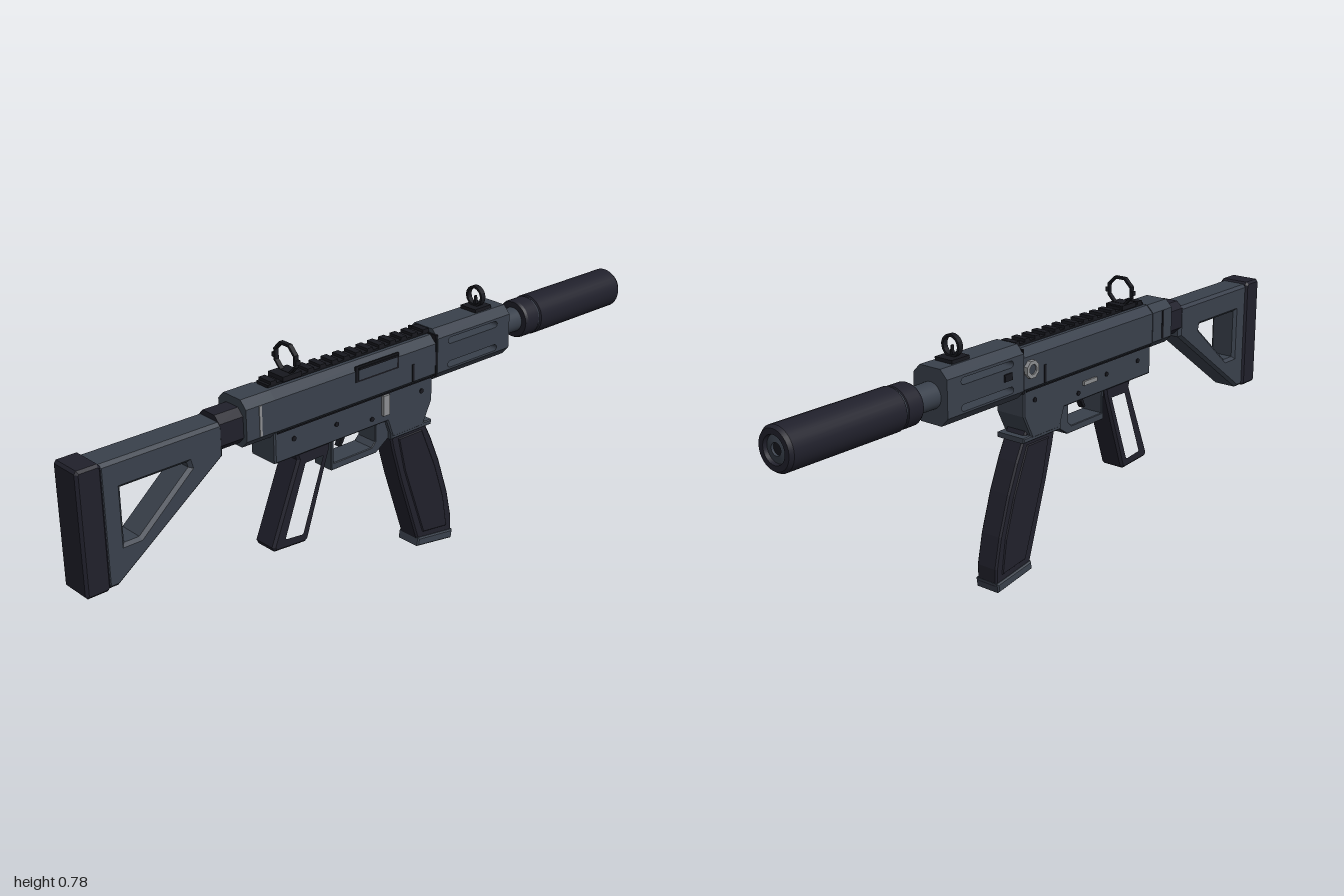
import * as THREE from 'three';
import { mergeGeometries } from 'three/addons/utils/BufferGeometryUtils.js';

const paint = (name, color) => Object.assign(new THREE.MeshStandardMaterial({ color }), { name });

export function createModel() {
  const slate = paint('slate metal', 0x39404b);
  const dark = paint('dark polymer', 0x20202b);
  const black = paint('blackened steel', 0x17181e);
  const steel = paint('bare steel', 0x8b8d90);

  const group = new THREE.Group();
  group.name = 'compactCarbine';
  const add = (name, geometry, material) => {
    const mesh = new THREE.Mesh(geometry, material);
    mesh.name = name;
    group.add(mesh);
    return mesh;
  };
  const vecs = pts => pts.map(([x, y]) => new THREE.Vector2(x, y));

  // Box given by its limits
  const box = (name, x0, x1, y0, y1, z0, z1, mat) => {
    const g = new THREE.BoxGeometry(x1 - x0, y1 - y0, z1 - z0);
    return add(name, g.translate((x0 + x1) / 2, (y0 + y1) / 2, (z0 + z1) / 2), mat);
  };

  // Side outline, extruded symmetrically across z with chamfered edges
  const slab = (name, pts, half, bevel, mat, holes = []) => {
    const s = new THREE.Shape(vecs(pts));
    for (const h of holes) s.holes.push(h instanceof THREE.Path ? h : new THREE.Path(vecs(h)));
    const g = new THREE.ExtrudeGeometry(s, {
      depth: 2 * (half - bevel), bevelEnabled: bevel > 0, bevelThickness: bevel,
      bevelSize: bevel, bevelOffset: -bevel, bevelSegments: 1, curveSegments: 8,
    });
    return add(name, g.translate(0, 0, bevel - half), mat);
  };

  // Cross-section in (z, y), extruded along x
  const bar = (name, pts, x0, x1, mat, hole) => {
    const s = new THREE.Shape(vecs(pts));
    if (hole) s.holes.push(new THREE.Path(vecs(hole)));
    const g = new THREE.ExtrudeGeometry(s, { depth: x1 - x0, bevelEnabled: false });
    return add(name, g.rotateY(Math.PI / 2).translate(x0, 0, 0), mat);
  };

  // Turned part along x from [radius, x] points, with crisp edges
  const axisY = 0.622;
  const turned = (name, pts, mat, sides = 32) => {
    const rings = pts.slice(1).map((p, i) => new THREE.LatheGeometry(vecs([pts[i], p]), sides));
    return add(name, mergeGeometries(rings).rotateZ(-Math.PI / 2).translate(0, axisY, 0), mat);
  };

  const chamfered = (w, y0, y1, c) => [
    [-w + c, y0], [w - c, y0], [w, y0 + c], [w, y1 - c],
    [w - c, y1], [-w + c, y1], [-w, y1 - c], [-w, y0 + c]];
  const circle = (r, cy, n) => Array.from({ length: n }, (_, i) => {
    const a = (i + 0.5) / n * Math.PI * 2;
    return [Math.cos(a) * r, cy + Math.sin(a) * r];
  });
  const rounded = (x0, x1, y, r) => {
    const p = new THREE.Path();
    p.absarc(x1 - r, y, r, -Math.PI / 2, Math.PI / 2, false);
    p.absarc(x0 + r, y, r, Math.PI / 2, Math.PI * 1.5, false);
    p.closePath();
    return p;
  };

  // Upper receiver and rear cap
  bar('upperReceiver', chamfered(0.055, 0.548, 0.682, 0.022), -0.41, 0.185, slate);
  bar('rearCap', chamfered(0.057, 0.55, 0.683, 0.022), -0.5, -0.405, slate);
  for (const s of [-1, 1]) {
    box('rearCapSlot', -0.458, -0.45, 0.575, 0.66, s * 0.057 - 0.002, s * 0.057 + 0.002, s > 0 ? steel : black);
    box('receiverSeam', -0.4, 0.17, 0.562, 0.566, s * 0.055 - 0.001, s * 0.055 + 0.001, black);
    box('receiverSlot', 0.088, 0.096, 0.57, 0.622, s * 0.055 - 0.002, s * 0.055 + 0.002, black);
  }

  // Ejection port
  box('portFrame', -0.125, 0.035, 0.628, 0.674, 0.052, 0.057, black);
  box('portCover', -0.115, 0.027, 0.634, 0.668, 0.055, 0.059, slate);
  box('portLip', -0.115, 0.03, 0.664, 0.669, 0.055, 0.062, black);

  // Lower receiver with magazine well
  slab('lowerReceiver', [[-0.405, 0.475], [0, 0.475], [0.02, 0.42], [0.14, 0.42], [0.175, 0.49],
    [0.175, 0.57], [-0.405, 0.57]], 0.05, 0.004, slate);
  slab('magazineWellFlange', [[0.015, 0.413], [0.175, 0.413], [0.175, 0.428], [0.015, 0.432]], 0.049, 0.003, slate);

  // Trigger guard and trigger
  slab('triggerGuard', [[-0.197, 0.49], [-0.197, 0.383], [-0.03, 0.383], [0.025, 0.42], [0.025, 0.49]],
    0.036, 0.002, slate, [[[-0.188, 0.404], [-0.048, 0.404], [-0.034, 0.418], [-0.034, 0.482], [-0.188, 0.482]]]);
  slab('trigger', [[-0.15, 0.49], [-0.135, 0.455], [-0.147, 0.43], [-0.135, 0.428],
    [-0.122, 0.452], [-0.125, 0.49]], 0.01, 0.002, black);

  // Controls and pins
  box('magazineCatch', -0.024, 0, 0.5, 0.56, 0.048, 0.06, steel);
  const selector = box('selector', -0.14, -0.08, 0.518, 0.53, -0.056, -0.048, steel);
  selector.name = 'selectorLever';
  for (const [x, y] of [[-0.34, 0.53], [-0.19, 0.525], [0.13, 0.53], [-0.06, 0.5]]) {
    const pin = new THREE.CylinderGeometry(0.007, 0.007, 0.106, 12).rotateX(Math.PI / 2);
    add('receiverPin', pin.translate(x, y, 0), black);
  }
  const handle = new THREE.Shape(vecs(circle(0.026, 0, 8)));
  handle.holes.push(new THREE.Path(vecs(circle(0.015, 0, 8))));
  add('chargingHandle', new THREE.ExtrudeGeometry(handle, { depth: 0.014, bevelEnabled: false })
    .translate(0.155, 0.625, -0.067), steel);
  add('chargingKnob', new THREE.CylinderGeometry(0.015, 0.015, 0.01, 8)
    .rotateX(Math.PI / 2).translate(0.155, 0.625, -0.058), slate);
  box('boltStop', 0.235, 0.265, 0.615, 0.635, -0.063, -0.055, black);

  // Top rail
  bar('railBase', [[-0.02, 0.678], [0.02, 0.678], [0.024, 0.69], [-0.024, 0.69]], -0.4, 0.185, black);
  for (let i = 0; i < 14; i++) {
    const x = -0.392 + i * 0.0425;
    box('railTooth', x, x + 0.021, 0.688, 0.698, -0.024, 0.024, black);
  }

  // Handguard with slots cut right through
  slab('handguardSides', [[0.185, 0.57], [0.482, 0.57], [0.482, 0.674], [0.185, 0.674]], 0.059, 0, slate,
    [rounded(0.227, 0.43, 0.585, 0.0095), rounded(0.227, 0.43, 0.657, 0.0095)]);
  bar('handguardTop', [[-0.059, 0.674], [0.059, 0.674], [0.036, 0.698], [-0.036, 0.698]], 0.185, 0.482, slate);
  bar('handguardBottom', [[-0.036, 0.545], [0.036, 0.545], [0.059, 0.57], [-0.059, 0.57]], 0.185, 0.482, slate);
  box('handguardJoint', 0.18, 0.187, 0.56, 0.685, -0.056, 0.056, black);

  // Barrel and suppressor
  turned('barrel', [[0, 0.47], [0.037, 0.47], [0.037, 0.57], [0, 0.57]], slate);
  turned('suppressor', [[0.03, 0.562], [0.054, 0.562], [0.058, 0.57], [0.058, 0.616], [0.055, 0.618], [0.055, 0.623],
    [0.06, 0.626], [0.06, 0.99], [0.053, 1], [0.038, 1], [0.036, 0.988]], dark);
  turned('suppressorRing', [[0.0555, 0.6185], [0.0555, 0.6225]], slate);
  turned('muzzleFace', [[0.037, 0.989], [0.017, 0.993], [0.017, 0.985]], slate);
  turned('bore', [[0.018, 0.986], [0, 0.986]], black);

  // Front sight: base, ring and post
  box('frontSightBase', 0.366, 0.432, 0.695, 0.708, -0.03, 0.03, black);
  bar('frontSightRing', circle(0.031, 0.736, 20), 0.39, 0.406, black, circle(0.024, 0.736, 20));
  bar('frontSightPost', [[-0.005, 0.705], [0.005, 0.705], [0.002, 0.737], [-0.002, 0.737]], 0.394, 0.402, black);

  // Rear sight: base and eight-sided ring
  box('rearSightBase', -0.355, -0.29, 0.688, 0.702, -0.03, 0.03, black);
  bar('rearSightRing', chamfered(0.043, 0.698, 0.78, 0.024), -0.325, -0.312, black,
    chamfered(0.037, 0.703, 0.773, 0.021));
  box('rearSightKnob', -0.326, -0.311, 0.73, 0.743, 0.04, 0.049, black);
  box('rearSightKnob', -0.326, -0.311, 0.73, 0.743, -0.049, -0.04, black);

  // Skeleton grip
  slab('grip', [[-0.325, 0.48], [-0.2, 0.48], [-0.205, 0.45], [-0.287, 0.208], [-0.297, 0.2],
    [-0.405, 0.208], [-0.412, 0.222], [-0.318, 0.455]], 0.04, 0.007, dark,
  [[[-0.298, 0.447], [-0.222, 0.447], [-0.3, 0.226], [-0.31, 0.221], [-0.372, 0.228], [-0.376, 0.238]]]);

  // Curved magazine with side panels and base plate
  slab('magazine', [[0.02, 0.44], [0.035, 0.37], [0.065, 0.265], [0.138, 0.04], [0.28, 0.018], [0.281, 0.07],
    [0.262, 0.16], [0.225, 0.275], [0.19, 0.36], [0.15, 0.44]], 0.036, 0.005, dark);
  slab('magazinePanels', [[0.055, 0.4], [0.08, 0.29], [0.158, 0.062], [0.258, 0.048], [0.242, 0.15],
    [0.205, 0.265], [0.148, 0.4]], 0.039, 0.003, dark);
  slab('magazineBase', [[0.132, 0.024], [0.277, 0], [0.281, 0.028], [0.137, 0.05]], 0.042, 0.004, slate);

  // Stock: buffer joint, open frame and butt pad
  bar('bufferJoint', chamfered(0.044, 0.56, 0.66, 0.02), -0.575, -0.495, dark);
  slab('stockFrame', [[-0.935, 0.645], [-0.935, 0.306], [-0.9, 0.306], [-0.565, 0.55], [-0.565, 0.645]],
    0.045, 0.009, slate, [[[-0.875, 0.567], [-0.875, 0.415], [-0.83, 0.415], [-0.672, 0.552], [-0.676, 0.567]]]);
  slab('buttPad', [[-1, 0.312], [-0.994, 0.305], [-0.936, 0.305], [-0.928, 0.313], [-0.928, 0.643],
    [-0.936, 0.651], [-0.994, 0.651], [-1, 0.643]], 0.05, 0.007, dark);

  group.position.z = 0.002;
  return group;
}
